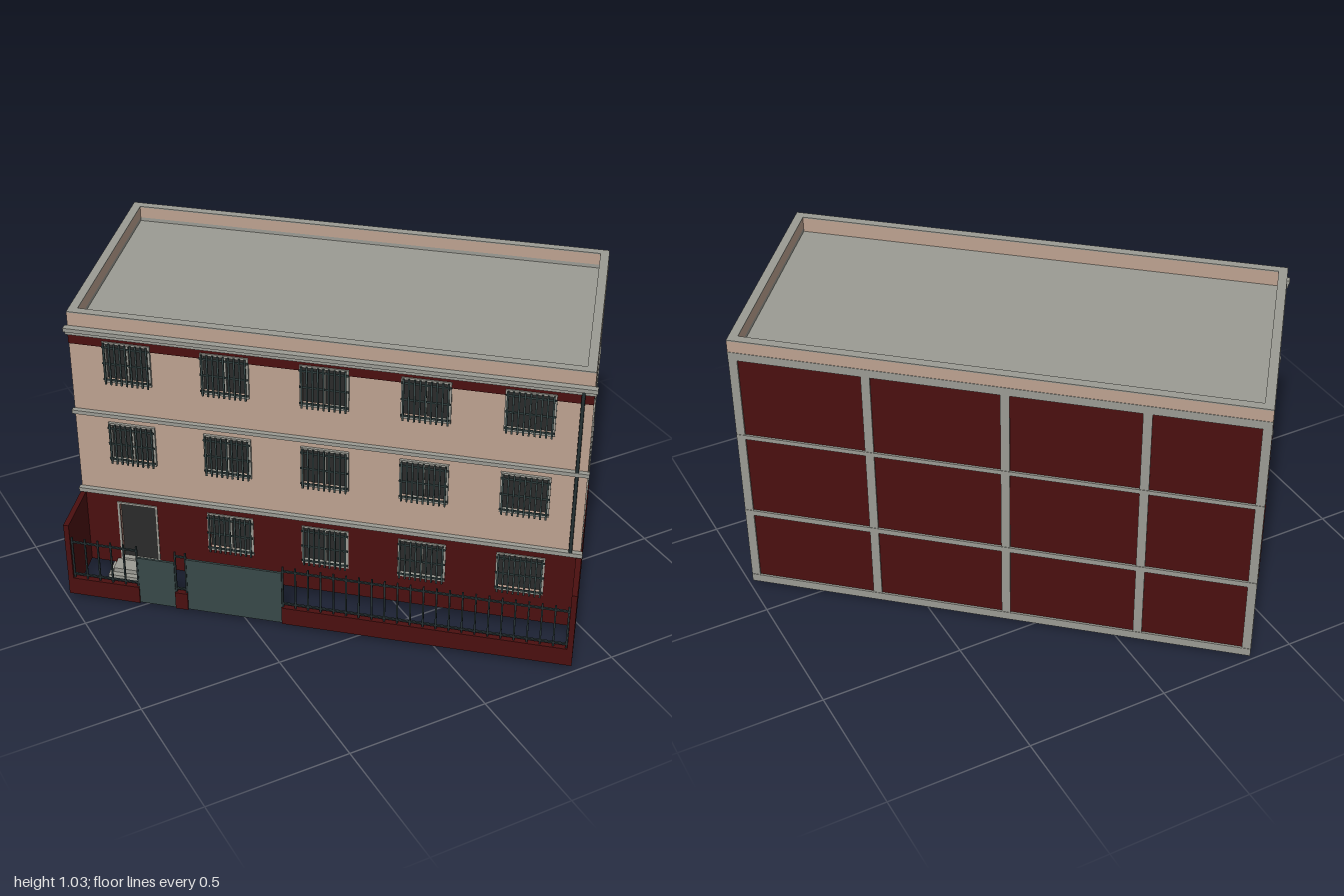
import * as THREE from 'three';
import { mergeGeometries } from 'three/addons/utils/BufferGeometryUtils.js';

// Local plan: x runs along the facade, y up, z outward from the facade.
// The plan is slightly skewed, so every part is mapped through this basis.
const PLAN = new THREE.Matrix4().set(
  0.756, 0, -0.613, -0.858,
  0, 1, 0, 0,
  0.6545, 0, 0.79, -0.33,
  0, 0, 0, 1);
const L = 1.757, D = 0.85, FENCE = 0.217, BASE = 0.02, EAVES = 0.955, TOP = 1.03;

const mat = (name, color) => {
  const m = new THREE.MeshStandardMaterial({ color });
  m.name = name;
  return m;
};

// Box from its limits along the facade, in height and outward
const box = (x0, x1, y0, y1, z0, z1) =>
  new THREE.BoxGeometry(x1 - x0, y1 - y0, z1 - z0)
    .translate((x0 + x1) / 2, (y0 + y1) / 2, (z0 + z1) / 2);

// Upright plate with rectangular holes
function pierced(x0, x1, y0, y1, z0, z1, holes) {
  const ring = (a, b, c, d, P) => {
    const p = new P();
    p.moveTo(a, c); p.lineTo(b, c); p.lineTo(b, d); p.lineTo(a, d); p.closePath();
    return p;
  };
  const shape = ring(x0, x1, y0, y1, THREE.Shape);
  holes.forEach(h => shape.holes.push(ring(h.x0, h.x1, h.y0, h.y1, THREE.Path)));
  return new THREE.ExtrudeGeometry(shape, { depth: z1 - z0, bevelEnabled: false }).translate(0, 0, z0);
}

export function createModel() {
  const tan = mat('tan plaster', 0xbda290);
  const red = mat('dark red brick', 0x4a0f0f);
  const grey = mat('grey concrete', 0x9b9b93);
  const green = mat('dark green metal', 0x384848);
  const iron = mat('dark iron', 0x243032);
  const glassMat = mat('dark glass', 0x2b2b2b);

  const model = new THREE.Group();
  model.name = 'building';
  const add = (name, material, geos) => {
    const mesh = new THREE.Mesh(mergeGeometries(geos).applyMatrix4(PLAN), material);
    mesh.name = name;
    model.add(mesh);
  };

  // Openings: five per floor, the first on the ground floor is the door
  const openings = [];
  [0.213, 0.537, 0.857].forEach((cy, floor) => {
    for (let i = 0; i < 5; i++) {
      const cx = 0.202 + 0.339 * i;
      const door = floor === 0 && i === 0;
      openings.push({
        door, floor, cx, cy,
        x0: cx - (door ? 0.065 : 0.075), x1: cx + (door ? 0.065 : 0.075),
        y0: door ? 0.045 : cy - 0.07, y1: door ? 0.28 : cy + 0.07,
      });
    }
  });

  // Facade wall and its red ground floor and frieze
  add('facadeWall', tan, [pierced(0, L, BASE, EAVES, -0.03, 0, openings)]);
  add('groundFloorCladding', red, [
    pierced(0, L, BASE, 0.318, 0, 0.006, openings.filter(o => o.floor === 0))]);
  add('frieze', red, [pierced(0, L, 0.912, 0.948, 0, 0.005,
    openings.filter(o => o.floor === 2).map(o => ({ ...o, y0: 0.9125, y1: o.y1 })))]);

  // Cornices
  add('cornices', grey, [
    box(-0.006, L + 0.006, 0.318, 0.334, 0, 0.018),
    box(-0.006, L + 0.006, 0.641, 0.655, 0, 0.018),
    box(-0.006, L + 0.006, 0.95, 0.964, 0, 0.015),
    box(-0.01, L + 0.01, 0.964, 0.978, 0, 0.024)]);

  // Frames, panes and window grilles
  const frames = [], panes = [], grilles = [];
  for (const { door, x0, x1, y0, y1, cx, cy } of openings) {
    const t = 0.008, zi = -0.036, zo = 0.01;
    frames.push(
      box(x0 - t, x0, y0 - t, y1 + t, zi, zo), box(x1, x1 + t, y0 - t, y1 + t, zi, zo),
      box(x0, x1, y1, y1 + t, zi, zo), box(x0, x1, y0 - t, y0, zi, zo));
    panes.push(box(x0, x1, y0, y1, -0.02, -0.01));
    if (door) continue;
    frames.push(box(cx - 0.003, cx + 0.003, y0, y1, -0.01, -0.004));
    for (let k = -4; k <= 4; k++) {
      const x = cx + k * 0.0185;
      grilles.push(box(x - 0.003, x + 0.003, cy - 0.079, cy + 0.079, 0.018, 0.024));
    }
    for (const dy of [-0.062, 0, 0.062])
      grilles.push(box(x0 - 0.008, x1 + 0.008, cy + dy - 0.003, cy + dy + 0.003, 0.015, 0.019));
  }
  add('windowAndDoorFrames', grey, frames);
  add('panes', glassMat, panes);
  add('windowGrilles', green, grilles);

  // Brick infill of the back and both ends
  add('brickPanels', red, [
    box(0.006, L - 0.006, BASE, EAVES, -D + 0.006, -D + 0.025),
    box(0.006, 0.025, BASE, EAVES, -D + 0.025, -0.03),
    box(L - 0.025, L - 0.006, BASE, EAVES, -D + 0.025, -0.03)]);

  // Concrete columns and beams
  const frame = [];
  for (const x of [0.015, 0.385, 0.84, 1.297, L - 0.015])
    frame.push(box(x - 0.015, x + 0.015, BASE, EAVES, -D, -D + 0.03));
  for (const [x0, x1] of [[0, 0.03], [L - 0.03, L]])
    frame.push(box(x0, x1, BASE, EAVES, -0.472, -0.446));
  for (const [y0, y1] of [[BASE, 0.05], [0.318, 0.338], [0.641, 0.657], [EAVES, 0.985]]) {
    const e = 0.0015;
    frame.push(
      box(0, L, y0, y1, -D - e, -D + 0.03),
      box(-e, 0.03, y0, y1, -D + 0.03, -0.03),
      box(L - 0.03, L + e, y0, y1, -D + 0.03, -0.03));
  }
  add('columnsAndBeams', grey, frame);

  // Roof with parapet and its coping
  add('roofSlab', grey, [box(0.02, L - 0.02, EAVES, 0.972, -D + 0.02, -0.02)]);
  const rim = (y0, y1, t) => [
    box(0, L, y0, y1, -t, 0), box(0, L, y0, y1, -D, -D + t),
    box(0, t, y0, y1, -D + t, -t), box(L - t, L, y0, y1, -D + t, -t)];
  add('parapet', tan, [
    ...rim(0.985, TOP - 0.004, 0.03), box(0, L, EAVES, 0.985, -0.03, 0)]);
  add('parapetCoping', grey, rim(TOP - 0.004, TOP, 0.031));

  // Drainpipe near the corner
  add('drainpipe', iron, [
    new THREE.CylinderGeometry(0.006, 0.006, 0.63, 8).translate(1.722, 0.645, 0.012)]);

  // Doorstep
  add('doorstep', grey, [
    box(0.1, 0.285, 0, 0.02, 0, 0.085), box(0.115, 0.285, 0.02, 0.037, 0, 0.065)]);

  // Yard side walls, running back over the first bay of each end
  add('yardSideWalls', red, [
    box(-0.004, 0.015, BASE, 0.312, -0.446, FENCE),
    box(L - 0.015, L + 0.004, BASE, 0.312, -0.446, FENCE)]);

  // Front fence: low walls, railings and gates
  const spans = [[0.015, 0.255], [0.385, 0.43], [0.765, L - 0.015]];
  const low = [], rails = [];
  for (const [x0, x1] of spans) {
    low.push(box(x0, x1, BASE, 0.088, FENCE - 0.02, FENCE));
    for (const y of [0.102, 0.238])
      rails.push(box(x0, x1, y - 0.003, y + 0.003, FENCE - 0.014, FENCE - 0.007));
    const n = Math.max(1, Math.round((x1 - x0) / 0.045));
    for (let k = 0; k <= n; k++) {
      const x = x0 + 0.004 + (x1 - x0 - 0.008) * k / n;
      rails.push(box(x - 0.003, x + 0.003, 0.088, 0.256, FENCE - 0.013, FENCE - 0.007));
    }
  }
  add('lowFenceWalls', red, low);
  add('fenceRailings', iron, rails);
  add('gates', green, [
    box(0.255, 0.385, BASE, 0.21, FENCE - 0.014, FENCE - 0.006),
    box(0.43, 0.765, BASE, 0.232, FENCE - 0.014, FENCE - 0.006)]);

  return model;
}
